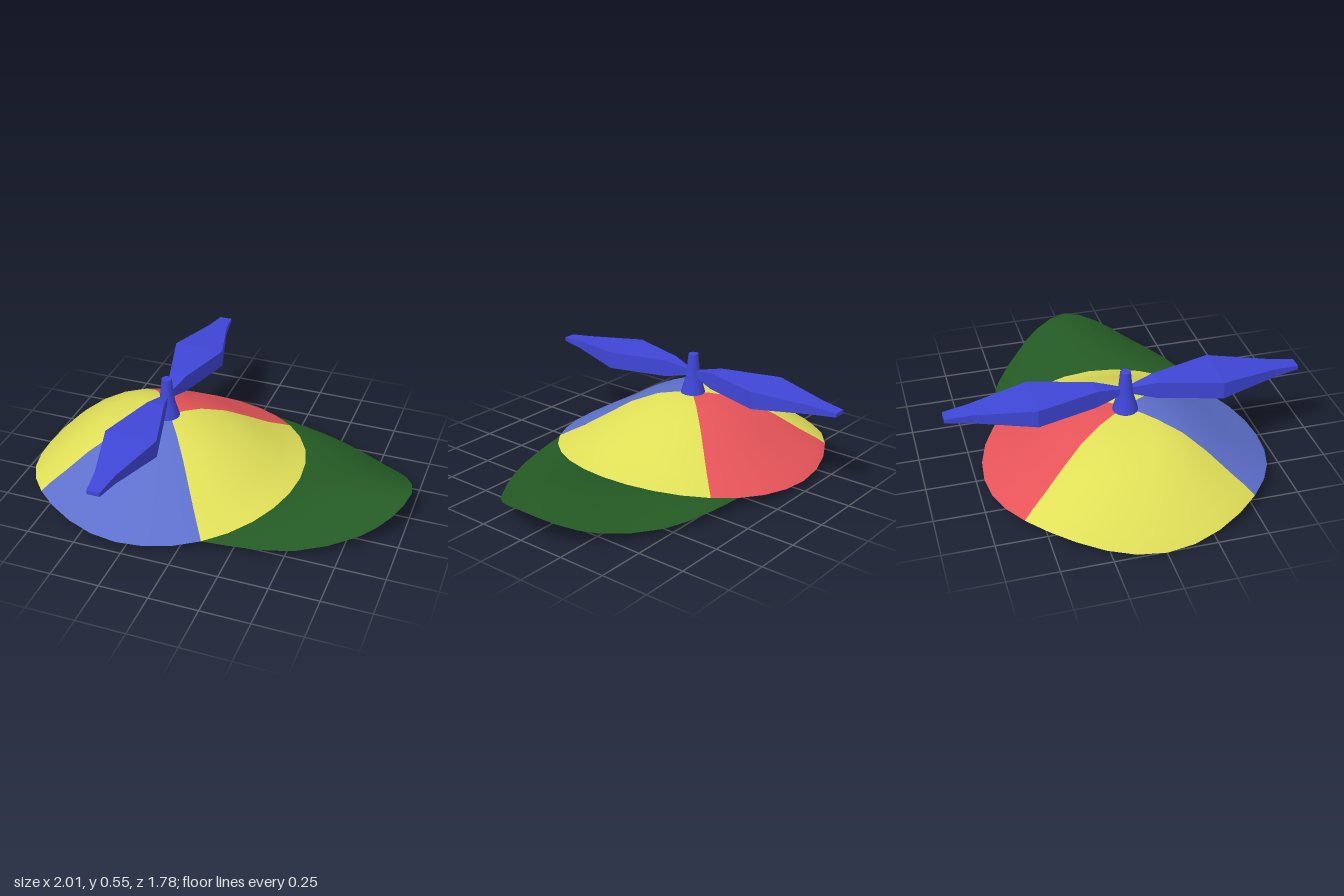
import * as THREE from 'three';

const CX = -0.29, SEG = 32, STEP = (Math.PI * 2) / SEG;

const mat = (name, color, side = THREE.FrontSide) => {
  const m = new THREE.MeshStandardMaterial({ color, side });
  m.name = name;
  return m;
};

// Crown height profiles toward the brim, the sides and the back
const radii = [0, 0.09, 0.18, 0.32, 0.45, 0.58, 0.66, 0.715];
const toBrim = [0.335, 0.333, 0.322, 0.278, 0.22, 0.15, 0.122, 0.105];
const toSide = [0.335, 0.333, 0.322, 0.268, 0.185, 0.107, 0.065, 0.032];
const toBack = [0.335, 0.333, 0.32, 0.3, 0.24, 0.13, 0.06, 0.0];

function crownPoint(ring, angle) {
  const c = Math.cos(angle), s = Math.sin(angle), r = radii[ring];
  const ends = c > 0 ? toBrim : toBack;
  let y = ends[ring] * c * c + toSide[ring] * s * s;
  if (c < 0) y += 0.05 * Math.sin(2 * angle) ** 2 * (r / 0.715) ** 2;
  return new THREE.Vector3(CX + r * c, y, r * s);
}

function indexed(points, index) {
  const g = new THREE.BufferGeometry().setFromPoints(points);
  g.setIndex(index);
  g.computeVertexNormals();
  return g;
}

// Domed crown: one smooth surface, split into four coloured panels
function crownGeometry(panels) {
  const points = [crownPoint(0, 0)], index = [], groups = [];
  const last = radii.length - 1;
  for (let k = 1; k <= last; k++)
    for (let i = 0; i < SEG; i++) points.push(crownPoint(k, i * STEP));
  const id = (k, i) => 1 + (k - 1) * SEG + ((i + SEG) % SEG);
  for (const [from, to, material] of panels) {
    const start = index.length;
    for (let i = from; i < to; i++) {
      index.push(0, id(1, i + 1), id(1, i));
      for (let k = 1; k < last; k++) {
        const a = id(k, i), b = id(k, i + 1), c = id(k + 1, i + 1), d = id(k + 1, i);
        index.push(a, b, c, a, c, d);
      }
    }
    groups.push([start, index.length - start, material]);
  }
  const g = indexed(points, index);
  groups.forEach((p) => g.addGroup(...p));
  return g;
}

// Brim: surface stretched from the crown's rim to an outer curve
function brimGeometry() {
  const half = [
    [0.11, 0.052, 0.59], [0.3, 0.043, 0.56], [0.55, 0.035, 0.485],
    [0.81, 0.062, 0.315], [0.94, 0.115, 0.175],
  ].map((p) => new THREE.Vector3(...p));
  const mirrored = half.map((p) => new THREE.Vector3(p.x, p.y, -p.z)).reverse();
  const outer = new THREE.CatmullRomCurve3([...half, new THREE.Vector3(1, 0.157, 0), ...mirrored]);
  const U = 20, V = 6, rim = radii.length - 1, points = [], index = [];
  for (let i = 0; i <= U; i++) {
    const u = i / U, j = 5 - u * 10, low = Math.floor(j);
    const inner = crownPoint(rim, low * STEP).lerp(crownPoint(rim, (low + 1) * STEP), j - low);
    const edge = outer.getPoint(u);
    for (let k = 0; k <= V; k++) {
      const v = k / V, p = inner.clone().lerp(edge, v);
      p.y += 0.11 * v * (1 - v) * Math.sin(Math.PI * u) ** 2;
      points.push(p);
    }
  }
  for (let i = 0; i < U; i++)
    for (let k = 0; k < V; k++) {
      const a = i * (V + 1) + k, b = a + 1, d = a + V + 1, c = d + 1;
      index.push(a, b, c, a, c, d);
    }
  return indexed(points, index);
}

// Propeller blade: rectangular sections [z, half width, half height]
function bladeGeometry() {
  const sections = [
    [0.02, 0.012, 0.016], [0.15, 0.045, 0.044], [0.46, 0.133, 0.045],
    [0.76, 0.05, 0.022], [0.888, 0.033, 0.01],
  ];
  const g = new THREE.BoxGeometry(2, 2, 1, 1, 1, sections.length - 1);
  const pos = g.attributes.position;
  for (let i = 0; i < pos.count; i++) {
    const [z, w, h] = sections[Math.round((pos.getZ(i) + 0.5) * (sections.length - 1))];
    pos.setXYZ(i, pos.getX(i) * w, pos.getY(i) * h, z);
  }
  const flat = g.toNonIndexed();
  flat.computeVertexNormals();
  return flat;
}

export function createModel() {
  const model = new THREE.Group();
  model.name = 'propellerCap';
  const yellow = mat('yellow', 0xe0df58, THREE.DoubleSide);
  const blue = mat('softBlue', 0x5e70cc, THREE.DoubleSide);
  const red = mat('red', 0xe65459, THREE.DoubleSide);
  const green = mat('darkGreen', 0x245a24, THREE.DoubleSide);
  const propBlue = mat('brightBlue', 0x3f46d6);

  const add = (name, geometry, material, parent = model) => {
    const mesh = new THREE.Mesh(geometry, material);
    mesh.name = name;
    parent.add(mesh);
    return mesh;
  };

  add('crown', crownGeometry([[-4, 5, 0], [5, 12, 1], [12, 21, 0], [21, 28, 2]]), [yellow, blue, red]);
  add('brim', brimGeometry(), green);

  // Propeller on top of the crown
  const propeller = new THREE.Group();
  propeller.name = 'propeller';
  propeller.position.x = -0.3;
  model.add(propeller);
  const profile = [[0.066, 0.325], [0.062, 0.345], [0.04, 0.42], [0.034, 0.47], [0.026, 0.548]]
    .map((p) => new THREE.Vector2(...p));
  add('hub', new THREE.LatheGeometry(profile, 16), propBlue, propeller);
  const cap = add('hubCap', new THREE.CircleGeometry(0.026, 16), propBlue, propeller);
  cap.rotation.x = -Math.PI / 2;
  cap.position.y = 0.548;
  for (const side of [0, 1]) {
    const blade = add(side ? 'backBlade' : 'frontBlade', bladeGeometry(), propBlue, propeller);
    blade.position.y = 0.442;
    blade.rotation.y = side * Math.PI;
  }
  return model;
}
